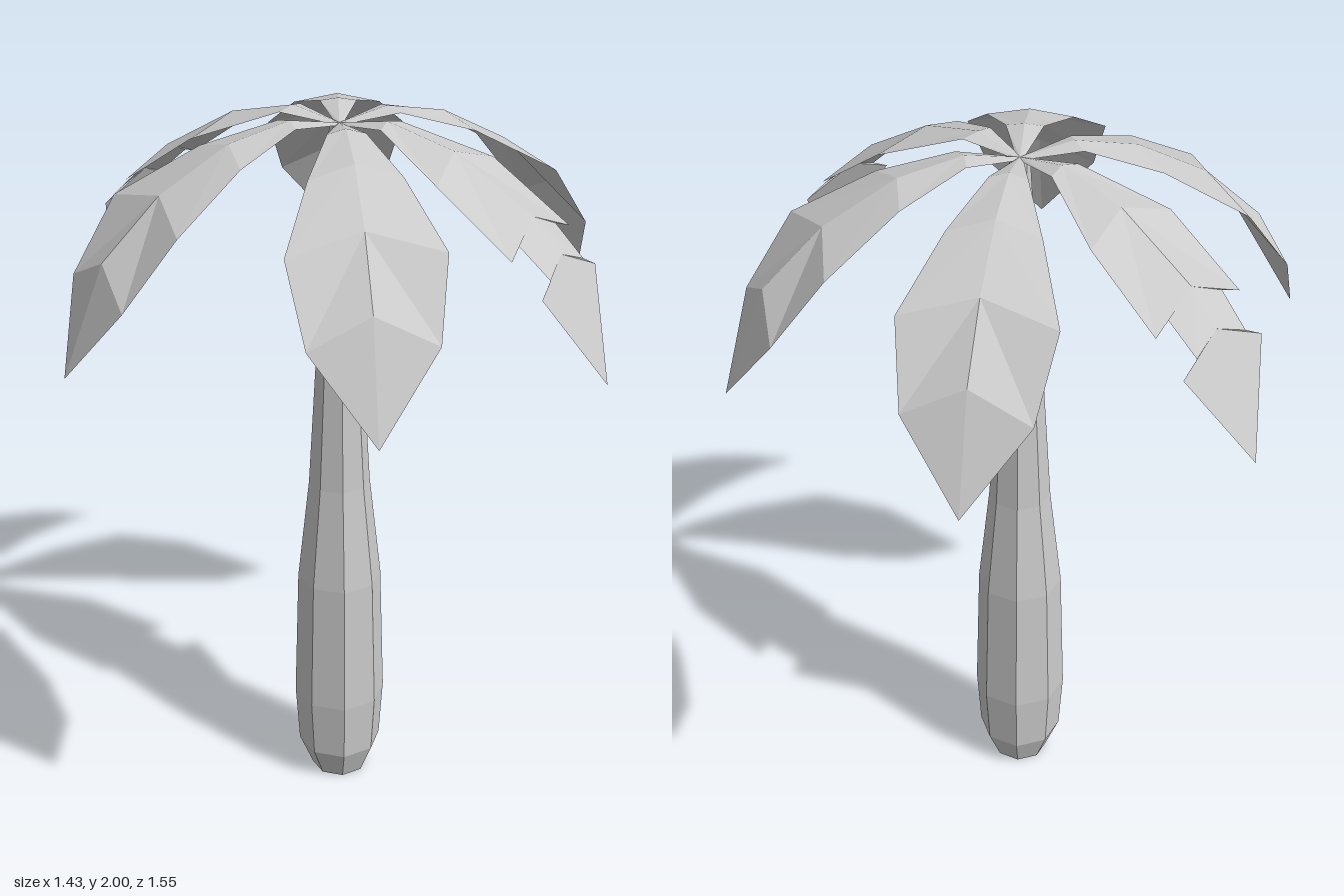
import * as THREE from 'three';

const material = new THREE.MeshStandardMaterial({
  color: 0xcccccc, flatShading: true, side: THREE.DoubleSide,
});

// Leaf cross-sections: [edge reach, edge height, half width, midrib reach, midrib height]
const stem = [
  [0, 1.97, 0.008, 0, 1.975],
  [0.15, 1.99, 0.048, 0.14, 2.0],
];
const tip = [0.775, 1.44, 0, 0.775, 1.44];
const fullLeaf = [
  ...stem,
  [0.335, 1.935, 0.115, 0.31, 1.965],
  [0.54, 1.82, 0.19, 0.5, 1.865],
  [0.675, 1.645, 0.155, 0.658, 1.72],
  tip,
];
const notchedLeaf = [
  ...stem,
  [0.363, 1.91, 0.143, 0.33, 1.955],
  [0.576, 1.767, 0.154, 0.55, 1.83],
  [0.565, 1.787, 0.098, 0.55, 1.83],
  [0.648, 1.715, 0.09, 0.63, 1.75],
  [0.656, 1.685, 0.146, 0.63, 1.75],
  tip,
];

// Folded leaf running out along +z, three points per cross-section
function leafGeometry(rows) {
  const points = [], index = [];
  rows.forEach(([ze, ye, w, zm, ym], i) => {
    points.push(-w, ye, ze, 0, ym, zm, w, ye, ze);
    if (i === 0) return;
    const a = (i - 1) * 3, b = i * 3;
    // Diagonals mirror each other across the midrib
    index.push(a, b, a + 1, a + 1, b, b + 1);
    index.push(a + 1, b + 2, a + 2, a + 1, b + 1, b + 2);
  });
  const geometry = new THREE.BufferGeometry();
  geometry.setAttribute('position', new THREE.Float32BufferAttribute(points, 3));
  geometry.setIndex(index);
  const flat = geometry.toNonIndexed();
  flat.computeVertexNormals();
  return flat;
}

export function createModel() {
  const model = new THREE.Group();
  model.name = 'palmTree';

  // Eight-sided trunk, swollen near the foot and closed at both ends
  const profile = [
    [0, 0], [0.08, 0], [0.119, 0.095], [0.13, 0.27], [0.118, 0.66],
    [0.085, 0.96], [0.026, 1.97], [0, 1.97],
  ].map(([r, y]) => new THREE.Vector2(r, y));
  const trunk = new THREE.Mesh(new THREE.LatheGeometry(profile, 8), material);
  trunk.name = 'trunk';
  model.add(trunk);

  // Crown: four full leaves and two notched ones
  const crown = new THREE.Group();
  crown.name = 'crown';
  const full = leafGeometry(fullLeaf), notched = leafGeometry(notchedLeaf);
  const leaves = [
    ['frontLeaf', full, 0], ['leftNotchedLeaf', notched, 51],
    ['leftLeaf', full, 112.5], ['backLeaf', full, 174.5],
    ['rightNotchedLeaf', notched, 231], ['rightLeaf', full, 292.5],
  ];
  for (const [name, geometry, degrees] of leaves) {
    const leaf = new THREE.Mesh(geometry, material);
    leaf.name = name;
    leaf.rotation.y = THREE.MathUtils.degToRad(degrees);
    crown.add(leaf);
  }
  model.add(crown);
  return model;
}
